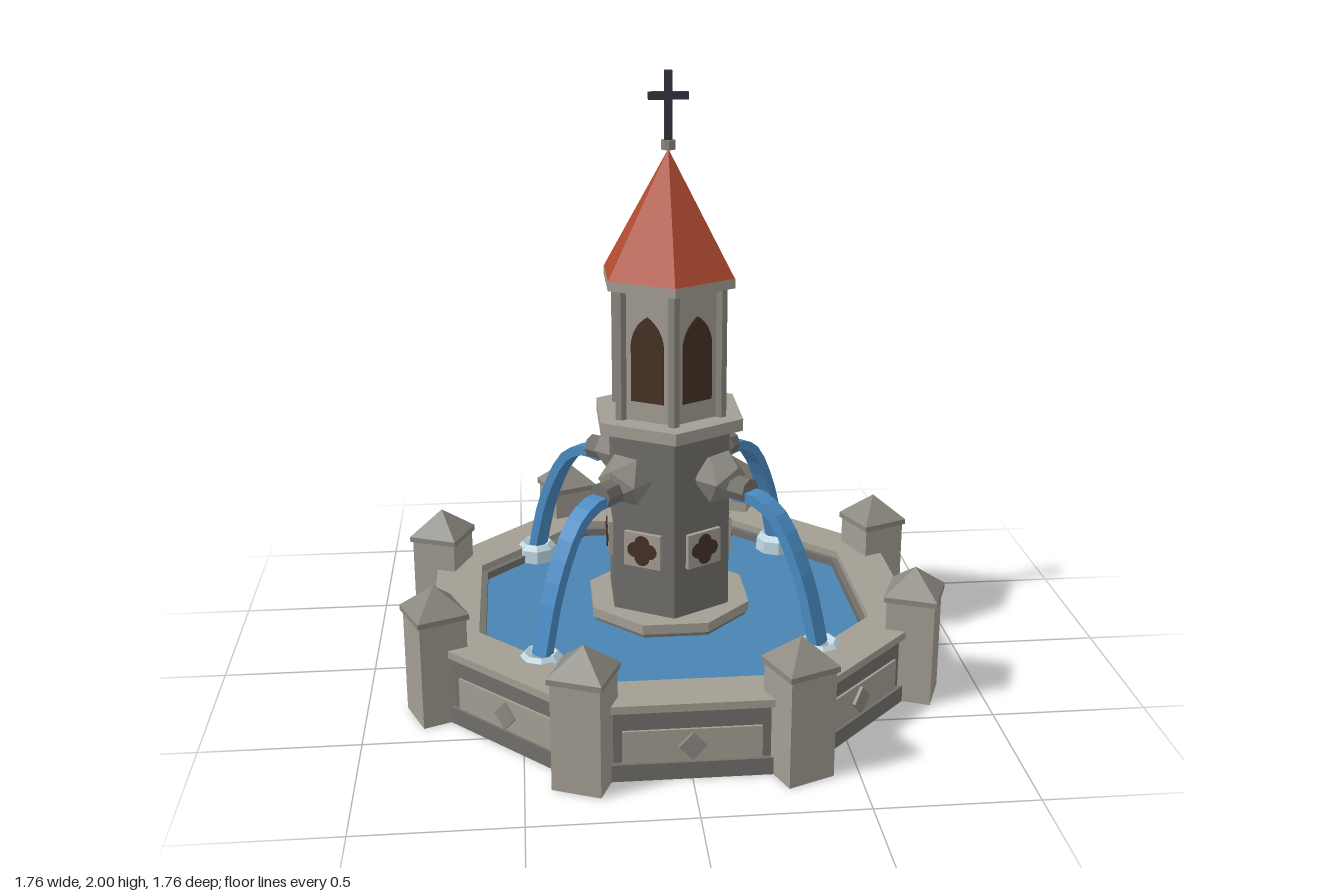
import * as THREE from 'three';

const mat = (name, color) => {
  const m = new THREE.MeshStandardMaterial({ color });
  m.name = name;
  m.flatShading = true;
  return m;
};

export function createModel() {
  const lightStone = mat('light stone', 0xa39e93);
  const darkStone = mat('dark stone', 0x716f6a);
  const midStone = mat('mid stone', 0x8b8880);
  const roofTile = mat('roof tile', 0xb04a2e);
  const opening = mat('dark opening', 0x453124);
  const iron = mat('iron', 0x353540);
  const water = mat('pool water', 0x4a84b2);
  const jet = mat('jet water', 0x4a8bc2);
  const foam = mat('foam', 0xbdd6e0);

  const model = new THREE.Group();
  model.name = 'fountain';
  const add = (name, geo, material, y = 0, parent = model) => {
    const mesh = new THREE.Mesh(geo, material);
    mesh.name = name;
    mesh.position.y = y;
    parent.add(mesh);
    return mesh;
  };
  // Places a part around the axis, with its local +z facing outward
  const around = (name, geo, material, angle, r, y) => {
    const mesh = add(name, geo, material, y);
    mesh.position.set(Math.sin(angle) * r, y, Math.cos(angle) * r);
    mesh.rotation.y = angle;
    return mesh;
  };
  // Prism between two heights; hexagons point to z, octagons have flats on the axes
  const prism = (name, sides, radius, y0, y1, material) => {
    const start = sides === 8 ? Math.PI / 8 : 0;
    return add(name, new THREE.CylinderGeometry(radius, radius, y1 - y0, sides, 1, false, start), material, (y0 + y1) / 2);
  };
  const C8 = Math.cos(Math.PI / 8), C6 = Math.cos(Math.PI / 6);
  // Octagonal ring with inner and outer apothems
  const ring = (name, inner, outer, y0, y1, material) => {
    const p = [[outer, y0], [outer, y1], [inner, y1], [inner, y0], [outer, y0]]
      .map(([r, y]) => new THREE.Vector2(r / C8, y));
    return add(name, new THREE.LatheGeometry(p, 8, Math.PI / 8), material);
  };
  const plate = (shape, depth) =>
    new THREE.ExtrudeGeometry(shape, { depth, bevelEnabled: false, curveSegments: 8 });

  // Basin
  prism('basinFloor', 8, 0.785 / C8, 0, 0.05, darkStone);
  ring('basinPlinth', 0.615, 0.788, 0, 0.055, darkStone);
  ring('basinWall', 0.615, 0.772, 0.05, 0.226, darkStone);
  ring('basinCoping', 0.635, 0.79, 0.225, 0.25, lightStone);
  prism('poolWater', 8, 0.617 / C8, 0.18, 0.2, water);

  // Wall panels with diamonds
  const panelGeo = new THREE.BoxGeometry(0.42, 0.105, 0.02);
  const diamond = new THREE.Shape([[0.042, 0], [0, 0.045], [-0.042, 0], [0, -0.045]]
    .map(([x, y]) => new THREE.Vector2(x, y)));
  const diamondGeo = plate(diamond, 0.012);
  // Corner pillars
  const pillarGeo = new THREE.BoxGeometry(0.155, 0.35, 0.155);
  const slabGeo = new THREE.BoxGeometry(0.17, 0.018, 0.17);
  const pyramidGeo = new THREE.ConeGeometry(0.17 / Math.SQRT2, 0.082, 4, 1, false, Math.PI / 4);
  for (let i = 0; i < 8; i++) {
    const a = i * Math.PI / 4, b = a + Math.PI / 8;
    around('wallPanel', panelGeo, lightStone, a, 0.77, 0.108);
    around('panelDiamond', diamondGeo, midStone, a, 0.778, 0.107);
    around('pillar', pillarGeo, lightStone, b, 0.835, 0.175);
    around('pillarSlab', slabGeo, midStone, b, 0.835, 0.355);
    around('pillarPyramid', pyramidGeo, midStone, b, 0.835, 0.405);
  }

  // Tower
  prism('towerFooting', 8, 0.25 / C8, 0.05, 0.215, darkStone);
  prism('towerFootingCap', 8, 0.26 / C8, 0.215, 0.248, lightStone);
  prism('towerShaft', 6, 0.19 / C6, 0.2, 0.87, darkStone);
  prism('cornice', 6, 0.23 / C6, 0.863, 0.903, lightStone);
  prism('belfry', 6, 0.157 / C6, 0.9, 1.34, lightStone);
  prism('eaves', 6, 0.201 / C6, 1.332, 1.362, lightStone);
  add('roof', new THREE.ConeGeometry(0.2 / C6, 0.395, 6), roofTile, 1.5595);

  // Quatrefoil plaques, arched windows and belfry posts
  const plaqueGeo = new THREE.BoxGeometry(0.13, 0.118, 0.03);
  const leaf = 0.026;
  const foil = new THREE.Shape();
  foil.moveTo(leaf, -leaf);
  foil.absarc(leaf, 0, leaf, -Math.PI / 2, Math.PI / 2, false);
  foil.absarc(0, leaf, leaf, 0, Math.PI, false);
  foil.absarc(-leaf, 0, leaf, Math.PI / 2, Math.PI * 1.5, false);
  foil.absarc(0, -leaf, leaf, Math.PI, Math.PI * 2, false);
  const foilGeo = plate(foil, 0.006);
  const arch = new THREE.Shape();
  arch.moveTo(-0.057, 0);
  arch.lineTo(0.057, 0);
  arch.lineTo(0.057, 0.19);
  arch.quadraticCurveTo(0.05, 0.25, 0, 0.282);
  arch.quadraticCurveTo(-0.05, 0.25, -0.057, 0.19);
  const archGeo = plate(arch, 0.008);
  const postGeo = new THREE.CylinderGeometry(0.02, 0.02, 0.44, 6);
  for (let i = 0; i < 6; i++) {
    const a = i * Math.PI / 3, face = a + Math.PI / 6;
    around('plaque', plaqueGeo, lightStone, face, 0.19, 0.475);
    around('quatrefoil', foilGeo, opening, face, 0.202, 0.475);
    around('archedWindow', archGeo, opening, face, 0.153, 0.968);
    around('belfryPost', postGeo, midStone, a, 0.186, 1.12);
  }

  // Finial and cross
  add('finial', new THREE.CylinderGeometry(0.023, 0.023, 0.03, 8), midStone, 1.77);
  add('crossUpright', new THREE.BoxGeometry(0.024, 0.235, 0.022), iron, 1.8825);
  add('crossArm', new THREE.BoxGeometry(0.126, 0.024, 0.022), iron, 1.922);

  // Spouts, water jets and splashes
  const headGeo = new THREE.IcosahedronGeometry(0.09, 0);
  const spoutGeo = new THREE.CylinderGeometry(0.042, 0.042, 0.13, 8).rotateX(Math.PI / 2);
  const path = new THREE.CatmullRomCurve3([[0.29, 0.675], [0.37, 0.678], [0.45, 0.635], [0.52, 0.53], [0.575, 0.4], [0.625, 0.21]]
    .map(([r, y]) => new THREE.Vector3(r, y, 0)));
  const upper = [], lower = [];
  for (let i = 0; i <= 10; i++) {
    const p = path.getPoint(i / 10), t = path.getTangent(i / 10);
    upper.push(new THREE.Vector2(p.x - t.y * 0.017, p.y + t.x * 0.017));
    lower.unshift(new THREE.Vector2(p.x + t.y * 0.017, p.y - t.x * 0.017));
  }
  const jetGeo = plate(new THREE.Shape([...upper, ...lower]), 0.06);
  jetGeo.translate(0, 0, -0.03).rotateY(-Math.PI / 2);
  const splashGeo = new THREE.LatheGeometry([[0.074, 0.195], [0.07, 0.245], [0.052, 0.264], [0.03, 0.25], [0, 0.246]]
    .map(([r, y]) => new THREE.Vector2(r, y)), 8);
  for (let i = 0; i < 4; i++) {
    const a = Math.PI / 4 + i * Math.PI / 2;
    around('spoutHead', headGeo, midStone, a, 0.215, 0.715);
    around('spout', spoutGeo, darkStone, a, 0.275, 0.695);
    around('waterJet', jetGeo, jet, a, 0, 0);
    around('splash', splashGeo, foam, a, 0.622, 0);
  }
  return model;
}
